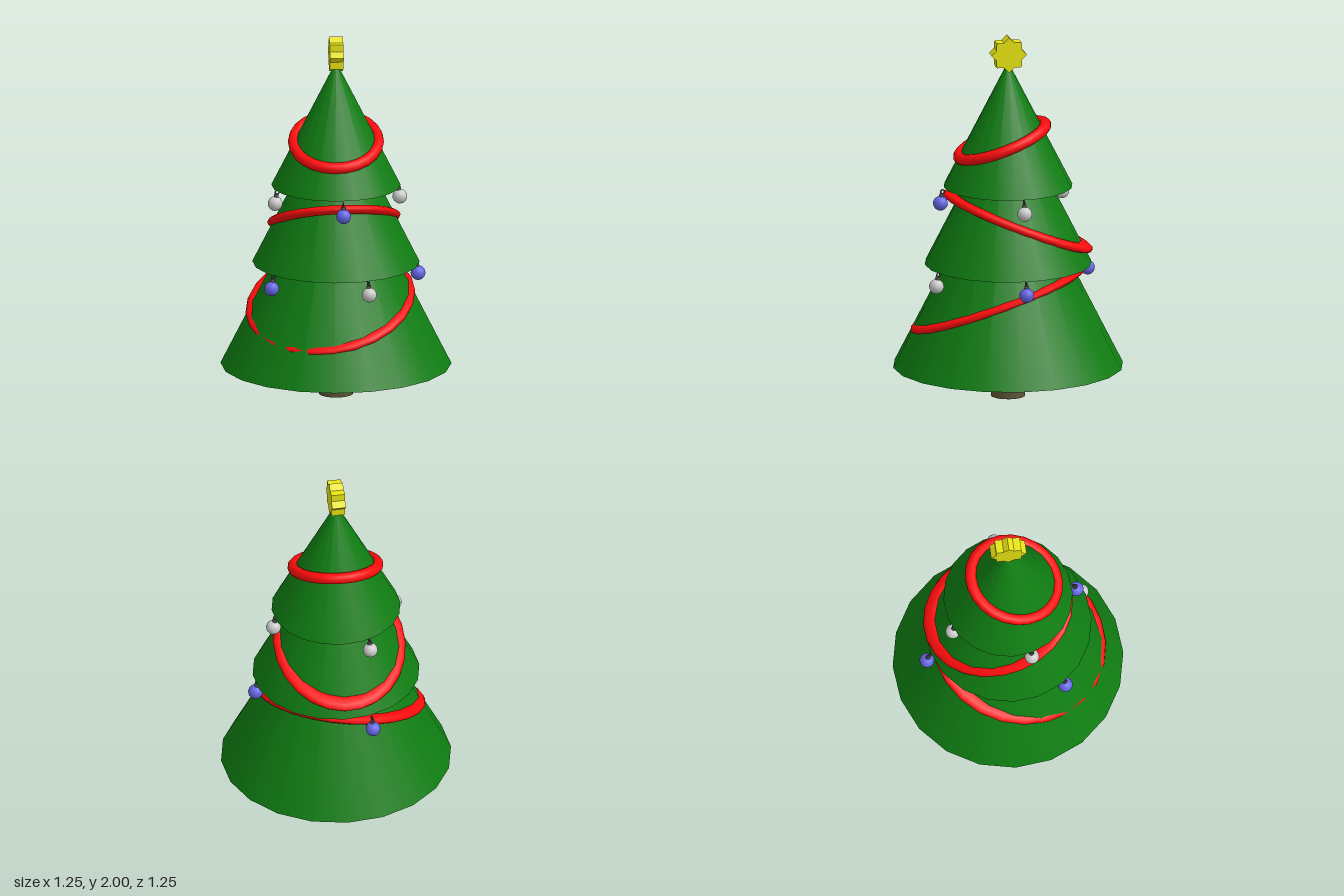
import * as THREE from 'three';

const mat = (color, extra = {}) => new THREE.MeshStandardMaterial({ color, ...extra });
const deg = THREE.MathUtils.degToRad;

export function createModel() {
  const tree = new THREE.Group();
  tree.name = 'decoratedTree';
  const green = mat(0x0f7d12), red = mat(0xff0c0c), yellow = mat(0xe8e412, { flatShading: true });
  const brown = mat(0x5a5535), blue = mat(0x6666e6), silver = mat(0xcccccc), dark = mat(0x555555);

  const add = (parent, name, geometry, material, x = 0, y = 0, z = 0) => {
    const mesh = new THREE.Mesh(geometry, material);
    mesh.name = name;
    mesh.position.set(x, y, z);
    parent.add(mesh);
    return mesh;
  };

  // Trunk
  add(tree, 'trunk', new THREE.CylinderGeometry(0.093, 0.093, 0.2, 20), brown, 0, 0.1, 0);

  // Three stacked foliage cones: [base height, base radius, apex height]
  const tiers = [[0.17, 0.625, 1.41], [0.74, 0.453, 1.64], [1.17, 0.35, 1.86]];
  tiers.forEach(([base, radius, apex], i) => {
    add(tree, `foliageTier${i + 1}`, new THREE.ConeGeometry(radius, apex - base, 20), green,
      0, (base + apex) / 2, 0);
  });

  // Tilted oval garlands: centre, radii across x and z, thickness scale, pitch and roll
  const garlands = [
    { at: [-0.03, 0.53, 0.055], rx: 0.41, rz: 0.445, thick: 0.2, pitch: 19, roll: 8 },
    { at: [-0.012, 0.965, -0.055], rx: 0.32, rz: 0.387, thick: 0.19, pitch: -22, roll: 4 },
    { at: [0, 1.42, 0.032], rx: 0.23, rz: 0.25, thick: 0.235, pitch: 20.5, roll: 0 },
  ];
  garlands.forEach(({ at, rx, rz, thick, pitch, roll }, i) => {
    const ring = new THREE.TorusGeometry(1, 0.13, 12, 24);
    ring.rotateX(-Math.PI / 2).scale(rx, thick, rz);
    const garland = add(tree, `garland${i + 1}`, ring, red, ...at);
    garland.rotation.set(deg(pitch), 0, deg(roll), 'ZXY');
  });

  // Baubles hanging under the rims of the upper two tiers
  const ball = new THREE.SphereGeometry(0.04, 20, 14);
  const cap = new THREE.CylinderGeometry(0.011, 0.014, 0.018, 12);
  const loop = new THREE.TorusGeometry(0.011, 0.004, 6, 14);
  const baubles = [
    [0.045, 1.092, 0.373, blue], [0.345, 1.092, -0.052, silver],
    [-0.155, 1.092, -0.31, silver], [-0.328, 1.092, 0.108, silver],
    [0.443, 0.663, -0.052, blue], [-0.155, 0.663, -0.45, blue],
    [-0.345, 0.663, 0.288, blue], [0.185, 0.663, 0.41, silver],
  ];
  baubles.forEach(([x, y, z, material]) => {
    const bauble = new THREE.Group();
    bauble.name = 'bauble';
    bauble.position.set(x, y, z);
    bauble.rotation.y = Math.atan2(x, z);
    add(bauble, 'ball', ball, material);
    add(bauble, 'cap', cap, dark, 0, 0.044, -0.006);
    add(bauble, 'hangingLoop', loop, dark, 0, 0.063, -0.012).rotation.y = Math.PI / 2;
    tree.add(bauble);
  });

  // Eight-pointed star on the tip
  const outline = [];
  for (let i = 0; i < 16; i++) {
    const a = (i * Math.PI) / 8, r = i % 2 ? 0.075 : 0.097;
    outline.push(new THREE.Vector2(Math.sin(a) * r, Math.cos(a) * r));
  }
  const starGeometry = new THREE.ExtrudeGeometry(new THREE.Shape(outline), { depth: 0.075, bevelEnabled: false });
  starGeometry.translate(0, 0, -0.0375);
  add(tree, 'star', starGeometry, yellow, 0, 1.903, 0).rotation.y = Math.PI / 2 + 0.07;

  return tree;
}
